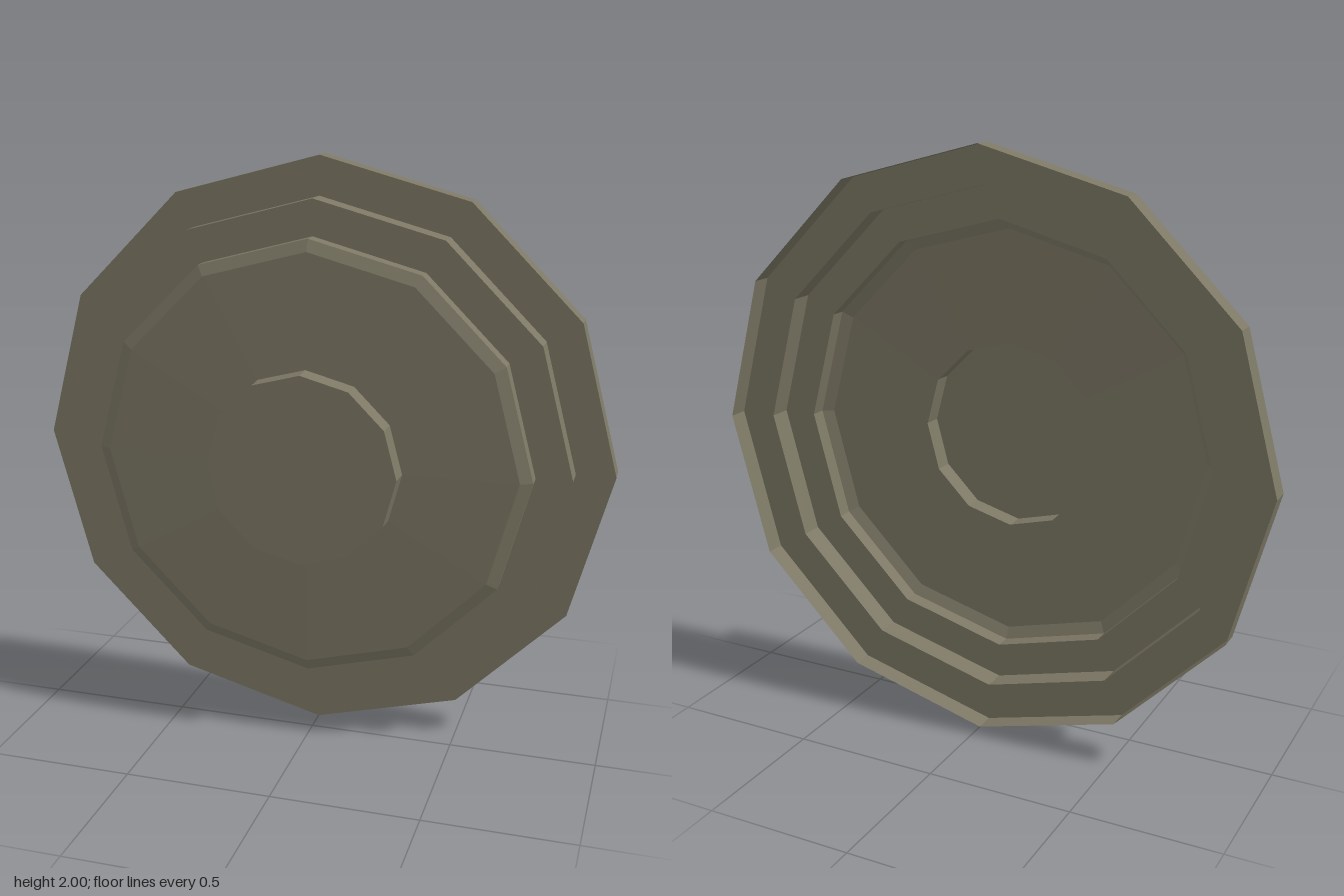
import * as THREE from 'three';

// Twelve-sided stepped dish: an open-backed thin shell, facing +z.
export function createModel() {
  const group = new THREE.Group();
  group.name = 'steppedDish';

  const olive = new THREE.MeshStandardMaterial({
    color: 0x7d7865, flatShading: true, side: THREE.DoubleSide,
  });
  olive.name = 'olive grey';

  // Each part is a short profile of [radius, z], from the back to the front
  const parts = {
    outerRim: [[1, -0.15], [1, -0.08], [0.87, -0.08]],
    middleStep: [[0.87, -0.08], [0.87, 0], [0.75, 0]],
    innerStep: [[0.75, 0], [0.75, 0.055], [0.71, 0.072]],
    face: [[0.71, 0.072], [0.325, 0.082]],
    hub: [[0.328, 0.082], [0.325, 0.15], [0, 0.15]],
  };

  for (const [name, profile] of Object.entries(parts)) {
    const points = profile.map(([r, z]) => new THREE.Vector2(r, z));
    const geometry = new THREE.LatheGeometry(points, 12)
      .rotateX(Math.PI / 2)
      .translate(0, 1, 0);
    const mesh = new THREE.Mesh(geometry, olive);
    mesh.name = name;
    group.add(mesh);
  }
  return group;
}
